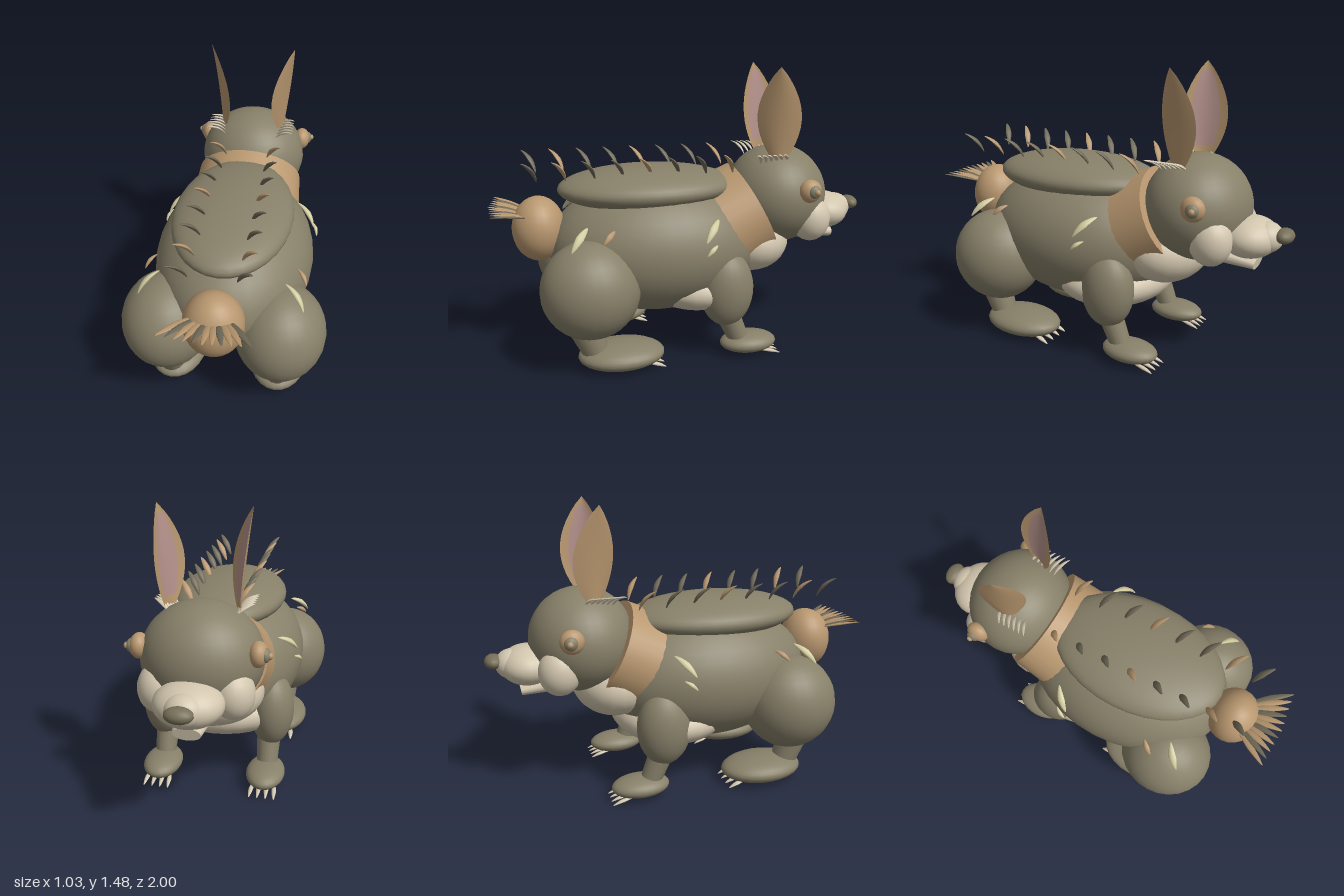
import * as THREE from 'three';

const mat = (name, color, side = THREE.FrontSide) => {
  const m = new THREE.MeshStandardMaterial({ color, side });
  m.name = name;
  return m;
};
const V = (x, y, z) => new THREE.Vector3(x, y, z);

export function createModel() {
  const root = new THREE.Group();
  root.name = 'quilledAnimal';
  const fur = mat('olive fur', 0x878069);
  const tan = mat('tan fur', 0xb8976f, THREE.DoubleSide);
  const cream = mat('cream fur', 0xd2c6ae);
  const pink = mat('inner ear pink', 0xb4918b, THREE.DoubleSide);
  const horn = mat('pale yellow horn', 0xd3cca0);
  const dark = mat('dark quill', 0x6f6957);
  const noseMat = mat('nose grey', 0x777059);

  const add = (name, geo, material) => {
    const m = new THREE.Mesh(geo, material);
    m.name = name;
    root.add(m);
    return m;
  };
  const ball = (name, c, r, material, seg = 24) => {
    const m = add(name, new THREE.SphereGeometry(1, seg, Math.round(seg * 0.7)), material);
    m.position.set(...c);
    m.scale.set(...r);
    return m;
  };
  // Tapered cylinder between two points
  const limb = (name, a, b, ra, rb, material, seg = 16) => {
    const d = b.clone().sub(a);
    const m = add(name, new THREE.CylinderGeometry(rb, ra, d.length(), seg), material);
    m.position.copy(a).addScaledVector(d, 0.5);
    m.quaternion.setFromUnitVectors(V(0, 1, 0), d.normalize());
    return m;
  };
  // Curved pointed blade from base to tip, bowed towards the hint direction
  const blade = (name, base, tip, hint, width, thick, bow, material) => {
    const y = tip.clone().sub(base), len = y.length();
    y.normalize();
    const z = hint.clone().addScaledVector(y, -hint.dot(y)).normalize();
    const x = y.clone().cross(z);
    const g = new THREE.SphereGeometry(1, 8, 10);
    const p = g.attributes.position;
    for (let i = 0; i < p.count; i++) {
      const t = p.getY(i), k = 1 - 0.35 * Math.abs(t);
      p.setXYZ(i, p.getX(i) * width * k, t * len / 2,
        p.getZ(i) * thick * k + bow * (1 - t * t));
    }
    g.applyMatrix4(new THREE.Matrix4().makeBasis(x, y, z));
    g.computeVertexNormals();
    const m = add(name, g, material);
    m.position.copy(base).add(tip).multiplyScalar(0.5);
    return m;
  };

  // Trunk
  ball('body', [0, 0.57, 0.14], [0.41, 0.355, 0.57], fur, 32);
  ball('backHump', [0, 0.875, 0.19], [0.3, 0.11, 0.465], fur, 32);
  ball('belly', [0, 0.365, -0.06], [0.37, 0.15, 0.31], cream, 28);
  ball('throat', [0, 0.56, -0.36], [0.27, 0.175, 0.215], cream);

  // Neck collar, tilted up towards the head
  const collar = add('collar', new THREE.CylinderGeometry(0.27, 0.285, 0.21, 32), tan);
  collar.position.set(0, 0.69, -0.285);
  collar.scale.set(1.06, 1, 0.95);
  collar.rotation.x = -Math.PI / 2 + 0.47;

  // Head
  ball('head', [0, 0.8, -0.515], [0.29, 0.265, 0.267], fur, 32);
  ball('muzzle', [0, 0.69, -0.79], [0.16, 0.1, 0.14], cream);
  ball('muzzleTip', [0, 0.7, -0.87], [0.09, 0.075, 0.08], cream);
  ball('nose', [0, 0.72, -0.955], [0.065, 0.036, 0.045], noseMat, 16);
  const jaw = limb('lowerJaw', V(0, 0.6, -0.62), V(0, 0.565, -0.835), 0.11, 0.065, cream);
  jaw.scale.z = 0.5;

  // Tail with a fan of blades
  ball('tail', [0, 0.68, 0.755], [0.145, 0.168, 0.135], tan);
  for (let i = 0; i < 11; i++) {
    const k = i / 5 - 1;
    blade('tailQuill', V(k * 0.08, 0.755, 0.82 - 0.02 * Math.abs(k)),
      V(k * 0.205, 0.805, 1 - 0.02 * Math.abs(k)), V(0, 1, 0), 0.017, 0.006, 0.005,
      i % 3 === 1 ? dark : tan);
  }

  // Leaf-shaped cupped ear sheet
  const earSheet = (s, size, lift) => {
    const g = new THREE.PlaneGeometry(2, 1, 6, 12);
    const p = g.attributes.position;
    for (let i = 0; i < p.count; i++) {
      const u = p.getX(i) * size;
      const t = 0.5 + p.getY(i) * (size < 1 ? 0.8 : 1);
      const half = 0.112 * Math.pow(Math.sin(Math.PI * (0.1 + 0.9 * t)), 0.85);
      const h = t > 0.999 ? 0 : half;
      const n = lift + 0.03 * u * u * h / 0.112;
      p.setXYZ(i,
        s * (0.168 + 0.02 * t + 0.03 * t * t + 0.36 * u * h - 0.93 * n),
        1.02 + 0.465 * t,
        -0.468 + 0.023 * t - 0.93 * u * h - 0.36 * n);
    }
    g.computeVertexNormals();
    return g;
  };

  for (const s of [-1, 1]) {
    // Face
    ball('cheek', [s * 0.17, 0.69, -0.655], [0.1, 0.12, 0.106], cream, 20);
    ball('eye', [s * 0.272, 0.865, -0.605], [0.045, 0.06, 0.06], tan, 18);
    ball('iris', [s * 0.305, 0.867, -0.615], [0.024, 0.034, 0.034], fur, 14);
    ball('pupil', [s * 0.326, 0.868, -0.622], [0.014, 0.016, 0.016], tan, 10);
    add('ear', earSheet(s, 1, 0), tan);
    add('innerEar', earSheet(s, 0.62, 0.007), pink);
    for (let i = 0; i < 6; i++) {
      const z = -0.36 - i * 0.028;
      blade('earTuft', V(s * 0.14, 0.99, z - 0.02), V(s * 0.235, 1.05, z + 0.03),
        V(0, 1, -0.4), 0.011, 0.007, 0.015, cream);
    }

    // Hind leg
    ball('thigh', [s * 0.285, 0.435, 0.525], [0.228, 0.247, 0.247], fur, 26);
    limb('hindShin', V(s * 0.28, 0.23, 0.56), V(s * 0.28, 0.06, 0.495), 0.08, 0.062, fur);
    ball('hindFoot', [s * 0.275, 0.073, 0.38], [0.152, 0.068, 0.22], fur);

    // Front leg
    ball('shoulder', [s * 0.285, 0.38, -0.165], [0.115, 0.2, 0.14], fur);
    limb('frontShin', V(s * 0.275, 0.23, -0.18), V(s * 0.275, 0.06, -0.25), 0.062, 0.052, fur);
    ball('frontFoot', [s * 0.275, 0.07, -0.29], [0.1, 0.053, 0.15], fur);

    // Claws
    for (let i = -1.5; i <= 1.5; i++) {
      blade('hindClaw', V(s * 0.275 + i * 0.05, 0.04, 0.26), V(s * 0.275 + i * 0.055, 0.013, 0.165),
        V(0, 1, 0), 0.014, 0.009, 0.006, cream);
      blade('frontClaw', V(s * 0.275 + i * 0.036, 0.035, -0.34), V(s * 0.275 + i * 0.042, 0.012, -0.45),
        V(0, 1, 0), 0.012, 0.009, 0.006, cream);
    }

    // Row of quills along the back
    for (let i = 0; i < 8; i++) {
      const z = -0.205 + i * 0.142;
      blade('backQuill', V(s * 0.11, 0.945, z - 0.035), V(s * 0.185, 1.055, z + 0.035),
        V(-s * 0.5, 1, -1), 0.018, 0.01, 0.016, i % 3 === 0 ? tan : dark);
    }

    // Flank spikes
    for (const z of [-0.115, 0.53]) {
      blade('flankSpike', V(s * 0.3, 0.755, z), V(s * 0.395, 0.665, z + 0.085),
        V(s, 1, 0), 0.02, 0.012, 0.018, horn);
    }
    blade('smallFlankSpike', V(s * 0.345, 0.745, 0.405), V(s * 0.395, 0.695, 0.465),
      V(s, 1, 0), 0.015, 0.01, 0.01, tan);
    blade('smallFlankSpike', V(s * 0.385, 0.65, -0.09), V(s * 0.415, 0.605, -0.03),
      V(s, 1, 0), 0.012, 0.009, 0.01, horn);
  }
  return root;
}
